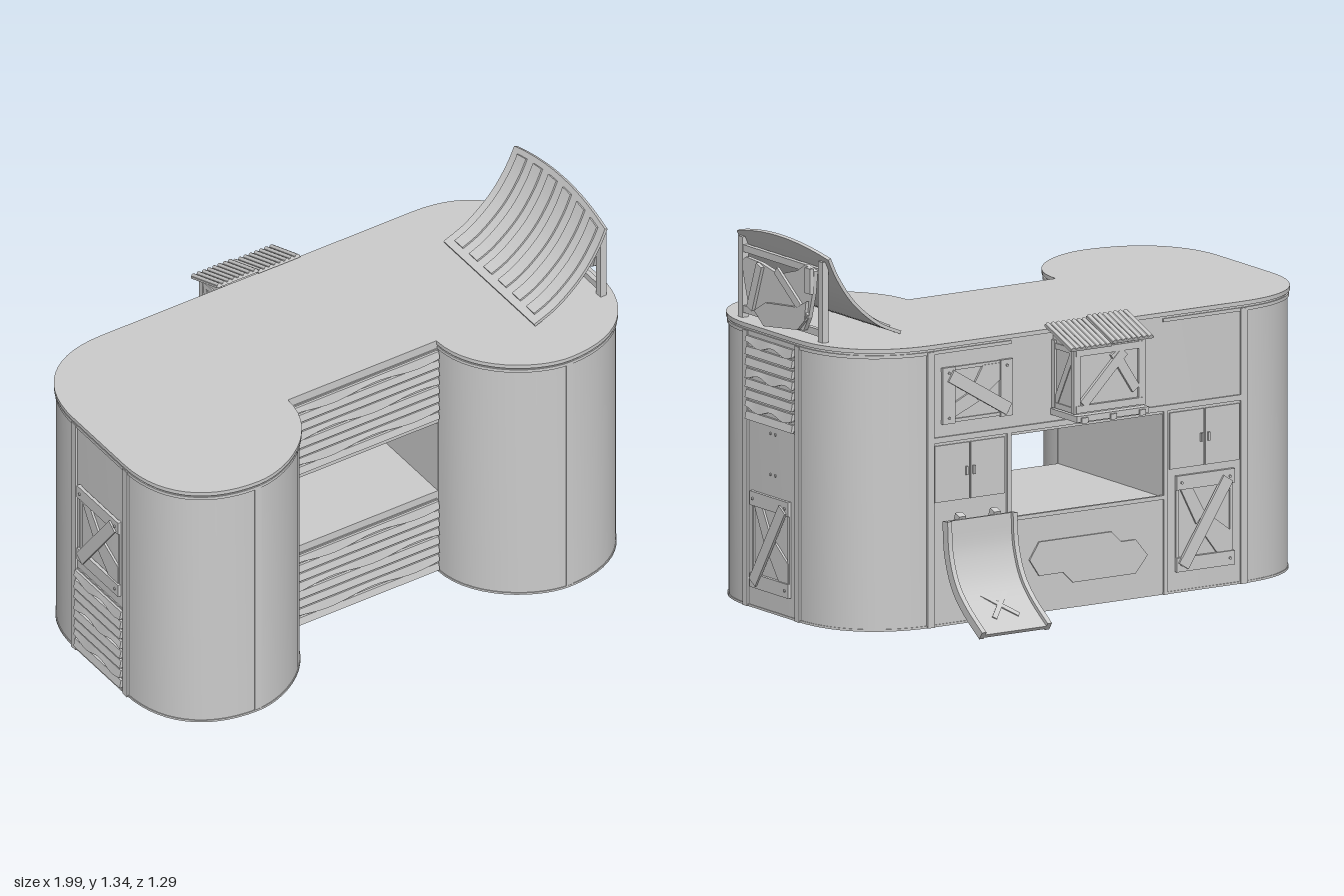
import * as THREE from 'three';
import { toCreasedNormals } from 'three/addons/utils/BufferGeometryUtils.js';

const mat = new THREE.MeshStandardMaterial({ color: 0xcccccc, side: THREE.DoubleSide });
const V2 = (x, y) => new THREE.Vector2(x, y);

function add(parent, name, geo, x = 0, y = 0, z = 0) {
  const m = new THREE.Mesh(geo, mat);
  m.name = name;
  m.position.set(x, y, z);
  parent.add(m);
  return m;
}
const box = (p, name, w, h, d, x, y, z) => add(p, name, new THREE.BoxGeometry(w, h, d), x, y, z);

function group(parent, name, x = 0, y = 0, z = 0, ry = 0) {
  const g = new THREE.Group();
  g.name = name;
  g.position.set(x, y, z);
  g.rotation.y = ry;
  parent.add(g);
  return g;
}

// Flat polygon plate in the XY plane
function plate(p, name, pts, depth, z = 0) {
  const s = new THREE.Shape(pts.map(([x, y]) => V2(x, y)));
  return add(p, name, new THREE.ExtrudeGeometry(s, { depth, bevelEnabled: false }), 0, 0, z);
}

// Board running between two points of the XY plane
function plank(p, name, x0, y0, x1, y1, w, d, z) {
  const m = box(p, name, Math.hypot(x1 - x0, y1 - y0), w, d, (x0 + x1) / 2, (y0 + y1) / 2, z);
  m.rotation.z = Math.atan2(y1 - y0, x1 - x0);
  return m;
}

function bolt(p, x, y, z) {
  add(p, 'bolt', new THREE.CylinderGeometry(0.005, 0.005, 0.006, 8).rotateX(Math.PI / 2), x, y, z);
}

// Plan outline of one half, inset by d (second coordinate is -z)
function halfOutline(d) {
  const k = 0.38, xi = 0.315 + d, xm = 0.645, xo = 0.975 - d;
  const f = -0.635 + d, s = -0.31, b = 0.345 - d, t = 0.015, r = 0.33 - d;
  const p = new THREE.Path();
  p.moveTo(xi, s);
  p.bezierCurveTo(xi, f + r * k, xm - r * (1 - 0.62 * 1) , f, xm, f);
  p.bezierCurveTo(xo - r * k, f, xo, f + r * k, xo, s);
  p.lineTo(xo, t);
  p.bezierCurveTo(xo, b - r * k, xo - r * k, b, xm, b);
  p.lineTo(0.315, b);
  return p.getPoints(14);
}

function extrudeUp(pts, y0, y1) {
  const g = new THREE.ExtrudeGeometry(new THREE.Shape(pts), { depth: y1 - y0, bevelEnabled: false });
  return toCreasedNormals(g.rotateX(-Math.PI / 2).translate(0, y0, 0), 0.5);
}
const mirrorPts = (pts) => pts.map((p) => V2(-p.x, p.y)).reverse();

// Slatted panel facing +z, some slats with a worn wavy edge
function slats(p, w, y0, y1, n) {
  box(p, 'slatBacking', w, y1 - y0, 0.006, 0, (y0 + y1) / 2, 0);
  const pitch = (y1 - y0) / n;
  for (let i = 0; i < n; i++) {
    const g = new THREE.BoxGeometry(w, pitch * 0.72, 0.012, 20, 1, 1);
    const a = g.attributes.position;
    for (let j = 0; j < a.count; j++) {
      const x = a.getX(j), low = a.getY(j) < 0;
      if (low && i % 3 === 1) a.setY(j, a.getY(j) + 0.009 * Math.sin((x / w) * 11 + i));
      if (low) a.setZ(j, a.getZ(j) + 0.006);
    }
    g.computeVertexNormals();
    add(p, 'slat', toCreasedNormals(g, 0.5), 0, y0 + (i + 0.5) * pitch, 0.006);
  }
}

// Boarded hatch facing +z: two rails, a whole brace and a snapped one
function hatch(p, w, h) {
  const a = w / 2, b = h / 2, e = 0.025;
  for (const s of [-1, 1]) {
    box(p, 'hatchRail', w, 0.05, 0.012, 0, s * (b - e), 0.008);
    box(p, 'hatchStile', 0.012, h, 0.006, s * (a - 0.008), 0, 0.003);
    for (const t of [-1, 1]) bolt(p, s * (a - 0.02), t * (b - e), 0.016);
  }
  plank(p, 'hatchBrace', -a + 0.025, -b + 0.02, a - 0.03, b - 0.03, 0.045, 0.01, 0.016);
  plate(p, 'snappedBrace', [[-a + 0.02, b - 0.05], [-a + 0.07, b - 0.05], [0, 0.03], [-0.035, -0.01]], 0.008);
  plate(p, 'snappedBrace', [[a - 0.01, -b + 0.12], [a - 0.01, -b + 0.05], [a - 0.07, -b + 0.05], [-0.01, -0.04], [0.03, 0.01]], 0.008);
}

// Slab bent along a curve; local z is its width, arch rounds the far end
function bent(p, name, curve, w, thick, z, lift, u0, u1, arch = 0) {
  const g = new THREE.BoxGeometry(1, thick, w, 20, 1, 10);
  const a = g.attributes.position;
  for (let i = 0; i < a.count; i++) {
    const zz = a.getZ(i) + z;
    const u = (u0 + (a.getX(i) + 0.5) * (u1 - u0)) * (1 - arch * (zz / 0.285) ** 2);
    const c = curve.getPointAt(u), t = curve.getTangentAt(u), h = a.getY(i) + lift;
    a.setXYZ(i, c.x - t.y * h, c.y + t.x * h, zz);
  }
  g.computeVertexNormals();
  return add(p, name, toCreasedNormals(g, 0.5));
}
const spline = (pts) => new THREE.SplineCurve(pts.map(([x, y]) => V2(x, y)));

export function createModel() {
  const model = new THREE.Group();
  model.name = 'counter';
  const HALF = Math.PI / 2;

  // Hollow rounded end bays, rims and the single top
  const ring = (d0, d1) => [...halfOutline(d0), ...halfOutline(d1).reverse()];
  for (const [name, d, y0, y1] of [['bayWall', 0, 0, 0.985], ['topRim', -0.005, 0.965, 0.977], ['bottomRim', -0.003, 0, 0.008]]) {
    const pts = ring(d, 0.018);
    add(model, name, extrudeUp(pts, y0, y1));
    add(model, name, extrudeUp(mirrorPts(pts), y0, y1));
  }
  const top = halfOutline(-0.008);
  add(model, 'counterTop', extrudeUp([...top, ...mirrorPts(top)], 0.985, 1));

  // Middle walls above and below the serving window, and the window lining
  for (const [y0, y1] of [[0, 0.345], [0.64, 0.985]]) {
    box(model, 'frontWall', 0.64, y1 - y0, 0.015, 0, (y0 + y1) / 2, 0.3);
    box(model, 'backWall', 0.64, y1 - y0, 0.015, 0, (y0 + y1) / 2, -0.3375);
  }
  for (const y of [0.34, 0.645]) box(model, 'windowShelf', 0.64, 0.01, 0.65, 0, y, -0.018);
  for (const s of [-1, 1]) box(model, 'windowSide', 0.01, 0.3, 0.65, s * 0.32, 0.4925, -0.018);

  // Slatted panels
  const front = group(model, 'frontSlats', 0, 0, 0.309);
  slats(front, 0.62, 0.01, 0.315, 8);
  slats(front, 0.62, 0.665, 0.965, 8);
  slats(group(model, 'rightSlats', 0.976, 0, 0.15, HALF), 0.29, 0.66, 0.965, 8);
  slats(group(model, 'leftSlats', -0.976, 0, 0.15, -HALF), 0.29, 0.02, 0.36, 8);

  // Vertical seam strips
  for (const s of [-1, 1]) {
    for (const z of [0.31, -0.013]) box(model, 'sideStrip', 0.014, 0.975, 0.028, s * 0.976, 0.4875, z);
    box(model, 'frontStrip', 0.028, 0.965, 0.008, s * 0.645, 0.4825, 0.633);
    box(model, 'backStrip', 0.028, 0.975, 0.014, s * 0.65, 0.4875, -0.346);
    box(model, 'windowPost', 0.018, 0.65, 0.01, s * 0.325, 0.325, -0.347);
  }
  box(model, 'backBeam', 1.3, 0.02, 0.012, 0, 0.66, -0.346);
  box(model, 'backSill', 0.64, 0.014, 0.012, 0, 0.345, -0.346);

  // Boarded hatches
  hatch(group(model, 'rightHatch', 0.976, 0.245, 0.15, HALF), 0.24, 0.34);
  hatch(group(model, 'leftHatch', -0.976, 0.57, 0.15, -HALF), 0.26, 0.32);
  hatch(group(model, 'backHatch', -0.485, 0.245, -0.346, Math.PI), 0.24, 0.34);
  const upper = group(model, 'upperHatch', 0.46, 0.815, -0.346, Math.PI);
  upper.rotation.z = HALF;
  hatch(upper, 0.2, 0.29);
  for (const y of [0.49, 0.635]) for (const z of [0.13, 0.16]) bolt(group(model, 'sideBolt', 0.976, y, z, HALF), 0, 0, 0);

  // Cupboard doors beside the window and the patch beneath it
  for (const s of [-1, 1]) {
    for (const t of [-1, 1]) {
      box(model, 'cupboardDoor', 0.142, 0.2, 0.006, s * 0.487 + t * 0.074, 0.54, -0.347);
      box(model, 'doorHandle', 0.008, 0.03, 0.01, s * 0.487 + t * 0.015, 0.54, -0.352);
    }
  }
  const patch = group(model, 'wallPatch', 0, 0, -0.345, Math.PI);
  plate(patch, 'patchPlate', [[-0.24, 0.19], [-0.2, 0.25], [0.1, 0.25], [0.14, 0.21], [0.2, 0.21], [0.25, 0.15], [0.2, 0.09], [-0.06, 0.09], [-0.1, 0.13], [-0.2, 0.13]], 0.006);

  // Curved, ribbed ramp standing on the top
  const ramp = group(model, 'topRamp', 0, 0, 0.145);
  const rise = spline([[0.635, 1.006], [0.73, 1.05], [0.83, 1.135], [0.9, 1.235], [0.945, 1.335]]);
  bent(ramp, 'rampSheet', rise, 0.57, 0.012, 0, 0, 0, 1, 0.08);
  for (let i = 0; i < 6; i++) bent(ramp, 'rampRib', rise, 0.05, 0.01, (i - 2.5) * 0.09, 0.008, 0.06, 0.95, 0.08);

  // Ramp frame with broken boards on its outer side
  const frame = group(model, 'rampFrame', 0.93, 0, 0, HALF);
  for (const x of [-0.4, 0.1]) box(frame, 'framePost', 0.028, 0.285, 0.025, x, 1.1425, 0);
  for (const y of [1.03, 1.245]) box(frame, 'frameRail', 0.5, 0.025, 0.018, -0.15, y, 0);
  plate(frame, 'brokenBoard', [[-0.36, 1.17], [-0.365, 1.21], [-0.34, 1.225], [-0.25, 1.22], [-0.14, 1.2], [-0.02, 1.235], [0.03, 1.265], [0.085, 1.25], [0.075, 1.17], [0.05, 1.08], [0.02, 1.03], [-0.22, 1.005], [-0.28, 1.04], [-0.33, 1.07]], 0.016, 0.012);
  plate(frame, 'frontBoard', [[-0.27, 1.05], [-0.2, 1.09], [0, 1.11], [0.055, 1.14], [0.045, 1.07], [0, 1.03], [-0.21, 1.005]], 0.012, 0.03);
  plank(frame, 'boardStrap', -0.3, 1.05, -0.24, 1.215, 0.035, 0.012, 0.036);
  plank(frame, 'boardStrap', -0.14, 1.215, 0.05, 1.08, 0.03, 0.01, 0.034);
  box(frame, 'boardStrap', 0.035, 0.09, 0.014, 0.065, 1.215, 0.036);

  // Slide at the back with rims, cross marks and two braces
  const slide = group(model, 'slide', 0.487, 0, 0, HALF);
  const fall = spline([[0.408, 0.385], [0.418, 0.27], [0.46, 0.165], [0.53, 0.09], [0.632, 0.018]]);
  bent(slide, 'slideBed', fall, 0.28, 0.014, 0, 0, 0, 1);
  for (const s of [-1, 1]) {
    bent(slide, 'slideRim', fall, 0.018, 0.032, s * 0.136, 0.004, 0, 1);
    plank(slide, 'slideBrace', 0.348, 0.265, 0.4, 0.4, 0.028, 0.028, s * 0.072);
    const mark = box(slide, 'crossMark', 0.15, 0.008, 0.018, 0.535, 0.096, 0);
    mark.rotation.set(0, s * 0.75, -0.66, 'ZYX');
  }

  // Crate hung on the back wall under a corrugated roof
  const crate = group(model, 'crate', 0, 0, -0.345, Math.PI);
  box(crate, 'crateBase', 0.3, 0.022, 0.165, 0, 0.705, 0.082);
  for (const s of [-1, 0, 1]) box(crate, 'baseBatten', 0.025, 0.02, 0.172, s * 0.12, 0.7, 0.086);
  const side = [[0, 0.72], [0.135, 0.72], [0.135, 0.95], [0, 1]];
  for (const s of [-1, 1]) {
    const wall = group(crate, 'crateSide', s * 0.135, 0, 0, -HALF);
    plate(wall, 'sidePanel', side, 0.01, -0.005);
    for (const x of [0.012, 0.135]) box(wall, 'sidePost', 0.02, 0.24, 0.026, x, 0.84, 0);
    for (const y of [0.73, 0.94]) box(wall, 'sideRail', 0.13, 0.02, 0.02, 0.07, y, 0);
    plank(wall, 'sideBrace', 0.02, 0.74, 0.125, 0.93, 0.025, 0.016, 0);
  }
  box(crate, 'cratePanel', 0.27, 0.24, 0.01, 0, 0.835, 0.13);
  for (const y of [0.735, 0.935]) box(crate, 'crateRail', 0.28, 0.025, 0.02, 0, y, 0.138);
  plank(crate, 'crateBrace', -0.11, 0.75, 0.06, 0.92, 0.035, 0.012, 0.142);
  plank(crate, 'crateBrace', 0.02, 0.92, 0.11, 0.78, 0.035, 0.012, 0.14);
  for (const s of [-1, 1]) {
    const roof = group(crate, 'roofSheet', s * 0.086, 0.985 + s * 0.004, 0.078);
    roof.rotation.x = 0.36;
    box(roof, 'sheet', 0.172, 0.008, 0.175, 0, 0, 0);
    for (let i = 0; i < 8; i++) {
      add(roof, 'corrugation', new THREE.CylinderGeometry(0.008, 0.008, 0.175, 8).rotateX(HALF), (i - 3.5) * 0.0215, 0.003, 0);
    }
  }
  return model;
}
